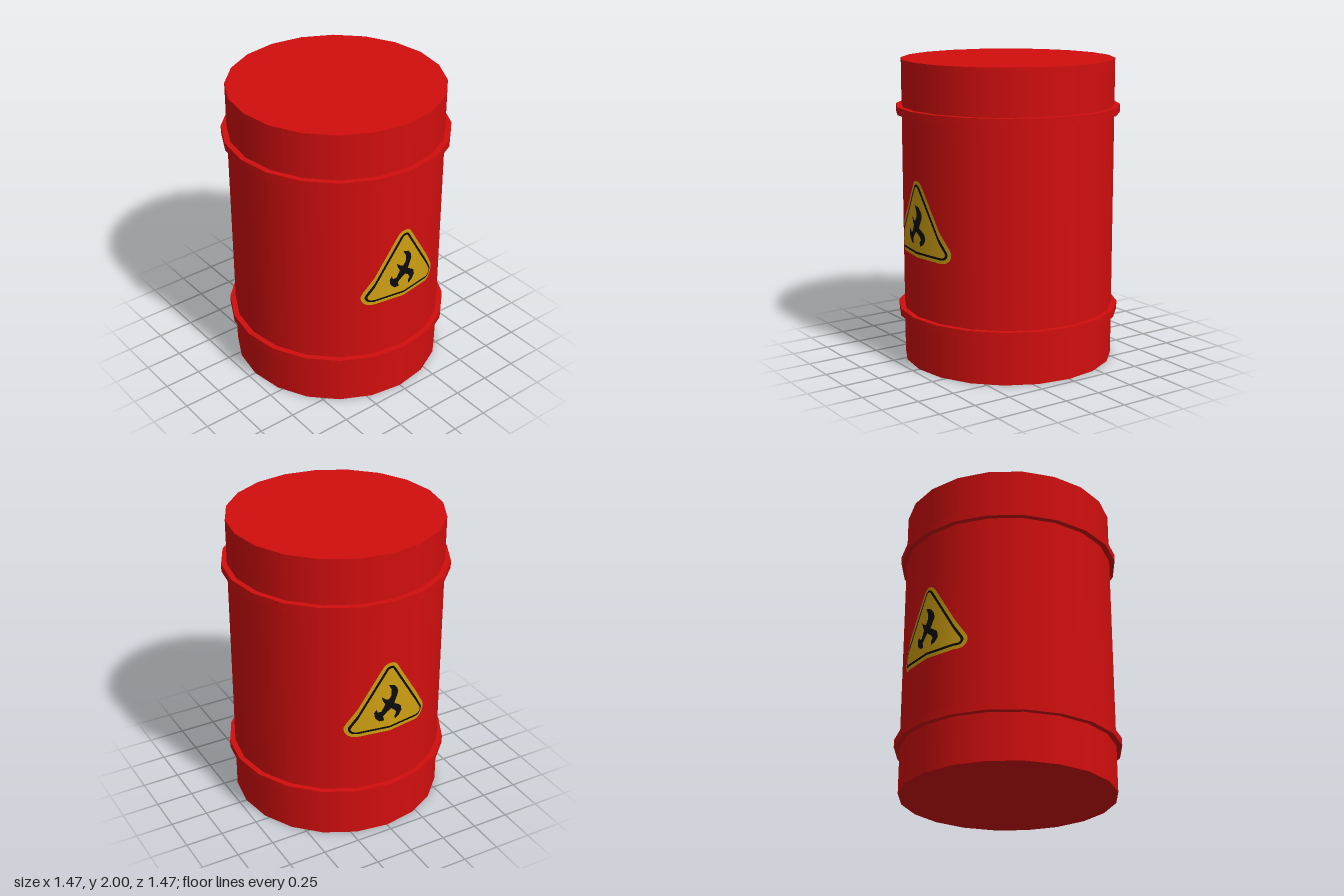
import * as THREE from 'three';
import { mergeGeometries } from 'three/addons/utils/BufferGeometryUtils.js';

const SIDES = 20, R = 0.7, HOOP_R = 0.737;

const paint = (name, color) => {
  const m = new THREE.MeshStandardMaterial({ color });
  m.name = name;
  return m;
};

// Triangle with rounded corners of radius r
function roundedTriangle(r) {
  const corners = [[0.235, 0.815, -90], [0, 1.195, 31.7], [-0.235, 0.815, 148.3]];
  const sweep = [121.7, 116.6, 121.7];
  const pts = [];
  corners.forEach(([x, y, start], i) => {
    for (let k = 0; k <= 6; k++) {
      const a = THREE.MathUtils.degToRad(start + sweep[i] * k / 6);
      pts.push(new THREE.Vector2(x + r * Math.cos(a), y + r * Math.sin(a)));
    }
  });
  return pts;
}

// Keep the part of a polygon where sign * (x - limit) >= 0
function clip(pts, limit, sign) {
  const out = [];
  pts.forEach((p, i) => {
    const q = pts[(i + 1) % pts.length];
    const dp = sign * (p.x - limit), dq = sign * (q.x - limit);
    if (dp >= 0) out.push(p);
    if (dp * dq < 0) out.push(p.clone().lerp(q, dp / (dp - dq)));
  });
  return out;
}

// Lay a flat polygon onto the barrel's facets, lifted slightly off the wall
function wrap(pts, lift) {
  const step = 2 * Math.PI / SIDES, parts = [];
  for (let k = -2; k < 2; k++) {
    const x0 = R * Math.sin(k * step), x1 = R * Math.sin((k + 1) * step);
    const z0 = R * Math.cos(k * step), z1 = R * Math.cos((k + 1) * step);
    const piece = clip(clip(pts, x0, 1), x1, -1);
    if (piece.length < 3) continue;
    const g = new THREE.ShapeGeometry(new THREE.Shape(piece));
    const pos = g.attributes.position, nor = g.attributes.normal;
    for (let i = 0; i < pos.count; i++) {
      const x = pos.getX(i), z = z0 + (z1 - z0) * (x - x0) / (x1 - x0);
      const len = Math.hypot(x, z);
      pos.setZ(i, z + lift);
      nor.setXYZ(i, x / len, 0, z / len);
    }
    parts.push(g);
  }
  return mergeGeometries(parts);
}

// Flame outline
const FLAME = [
  [-0.016, 1.102], [0.027, 1.088], [0.053, 1.055], [0.058, 1.022], [0.042, 0.985],
  [0.028, 0.953], [0.053, 0.938], [0.082, 0.917], [0.09, 0.88], [0.068, 0.848],
  [0.037, 0.834], [0.034, 0.858], [0.047, 0.88], [0.032, 0.902], [0.003, 0.925],
  [-0.024, 0.903], [-0.05, 0.875], [-0.042, 0.843], [-0.074, 0.843], [-0.104, 0.873],
  [-0.11, 0.912], [-0.095, 0.935], [-0.085, 0.912], [-0.063, 0.912], [-0.046, 0.942],
  [-0.037, 0.964], [-0.053, 0.99], [-0.06, 1.02], [-0.032, 0.997], [-0.014, 0.992],
  [0.005, 1.022], [0.005, 1.06],
].map(([x, y]) => new THREE.Vector2(x, y));

export function createModel() {
  const red = paint('barrel red', 0xd20e0e);
  const yellow = paint('sign yellow', 0xcfa012);
  const black = paint('sign black', 0x0c0c0c);

  const barrel = new THREE.Group();
  barrel.name = 'barrel';
  const add = (parent, name, geometry, material) => {
    const mesh = new THREE.Mesh(geometry, material);
    mesh.name = name;
    parent.add(mesh);
    return mesh;
  };

  // Drum and its two hoops
  add(barrel, 'drum', new THREE.CylinderGeometry(R, R, 2, SIDES), red).position.y = 1;
  for (const [name, y] of [['lowerHoop', 0.333], ['upperHoop', 1.673]]) {
    add(barrel, name, new THREE.CylinderGeometry(HOOP_R, HOOP_R, 0.05, SIDES), red).position.y = y;
  }

  // Warning signs on front and back, as thin stacked layers
  for (const [name, turn] of [['frontSign', 0], ['backSign', Math.PI]]) {
    const sign = new THREE.Group();
    sign.name = name;
    sign.rotation.y = turn;
    add(sign, 'signPlate', wrap(roundedTriangle(0.06), 0.002), yellow);
    add(sign, 'signBorder', wrap(roundedTriangle(0.037), 0.004), black);
    add(sign, 'signField', wrap(roundedTriangle(0.022), 0.006), yellow);
    add(sign, 'signFlame', wrap(FLAME, 0.008), black);
    barrel.add(sign);
  }
  return barrel;
}
